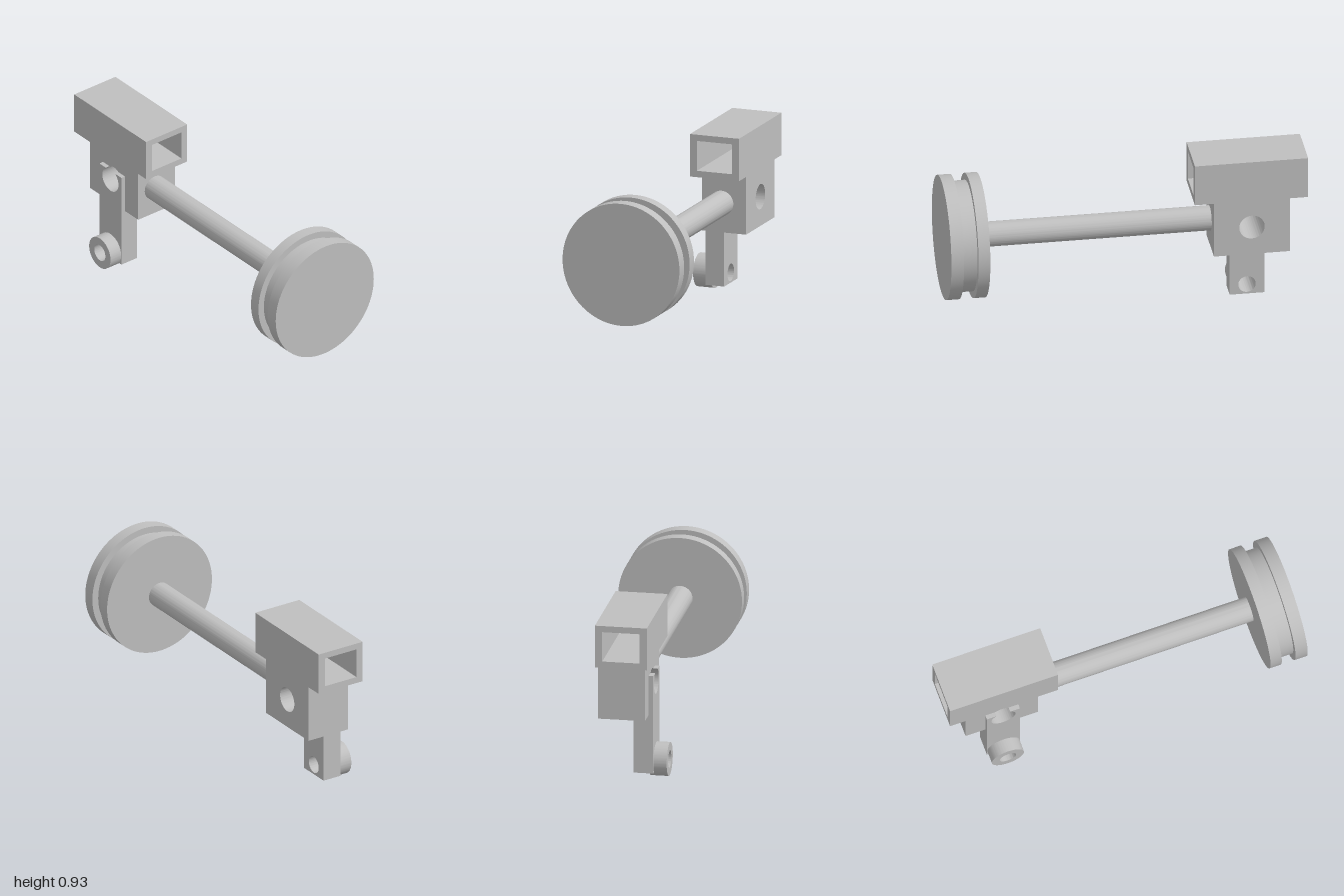
import * as THREE from 'three';
import { toCreasedNormals } from 'three/addons/utils/BufferGeometryUtils.js';

const STEEL = new THREE.MeshStandardMaterial({ color: 0xbfbfbf });
STEEL.name = 'plain grey';

const PIVOT_X = -0.69;  // shared x of the bore, arm and boss
const AXIS_Y = 0.537;   // height of the shaft axis
const BORE = 0.07;
const BOSS_Y = 0.095;
const BOSS_BORE = 0.048;

function part(name, geometry) {
  const mesh = new THREE.Mesh(toCreasedNormals(geometry, 0.5), STEEL);
  mesh.name = name;
  return mesh;
}

function rect(x0, x1, y0, y1, Kind = THREE.Shape) {
  return new Kind([[x0, y0], [x1, y0], [x1, y1], [x0, y1]].map(p => new THREE.Vector2(...p)));
}

function circle(x, y, r, Kind = THREE.Path) {
  const path = new Kind();
  path.absarc(x, y, r, 0, Math.PI * 2, false);
  return path;
}

// Extrudes a shape between two depths.
function extrude(shape, z0, z1) {
  return new THREE.ExtrudeGeometry(shape, { depth: z1 - z0, bevelEnabled: false, curveSegments: 48 })
    .translate(0, 0, z0);
}

// Revolves [radius, x] points around the shaft axis.
function revolve(points) {
  return new THREE.LatheGeometry(points.map(p => new THREE.Vector2(...p)), 96)
    .rotateZ(-Math.PI / 2).translate(0, AXIS_Y, 0);
}

export function createModel() {
  const model = new THREE.Group();
  model.name = 'wheelAndBracket';

  // Rectangular sleeve, open at both ends along x
  const sleeve = rect(-0.144, 0.144, 0.697, 0.936);
  sleeve.holes.push(rect(-0.103, 0.103, 0.733, 0.901, THREE.Path));
  model.add(part('sleeve', extrude(sleeve, -1, -0.375).rotateY(Math.PI / 2)));

  // Block with a cross bore
  const block = rect(-0.9, -0.48, 0.372, 0.697);
  block.holes.push(circle(PIVOT_X, AXIS_Y, BORE));
  model.add(part('block', extrude(block, -0.144, 0.115)));

  // Hanging arm, notched at the top by the cross bore
  const top = 0.595, half = 0.096;
  const a = Math.asin((top - AXIS_Y) / BORE);
  const arm = new THREE.Shape();
  arm.moveTo(PIVOT_X - half, 0.037);
  arm.lineTo(PIVOT_X + half, 0.037);
  arm.lineTo(PIVOT_X + half, top);
  arm.absarc(PIVOT_X, AXIS_Y, BORE, a, Math.PI - a, true);
  arm.lineTo(PIVOT_X - half, top);
  arm.closePath();
  arm.holes.push(circle(PIVOT_X, BOSS_Y, BOSS_BORE));
  model.add(part('arm', extrude(arm, 0.03, 0.14)));

  // Ring boss at the foot of the arm
  const boss = circle(PIVOT_X, BOSS_Y, 0.093, THREE.Shape);
  boss.holes.push(circle(PIVOT_X, BOSS_Y, BOSS_BORE));
  model.add(part('boss', extrude(boss, 0.115, 0.214)));

  // Shaft from the block to the wheel
  model.add(part('shaft', revolve([[0, -0.49], [0.069, -0.49], [0.069, 0.79], [0, 0.79]])));

  // Solid wheel with a square groove in its rim
  const R = 0.343, G = 0.305;
  model.add(part('wheel', revolve([
    [0, 0.785], [R, 0.785], [R, 0.85], [G, 0.85], [G, 0.93], [R, 0.93], [R, 1], [0, 1],
  ])));

  return model;
}
